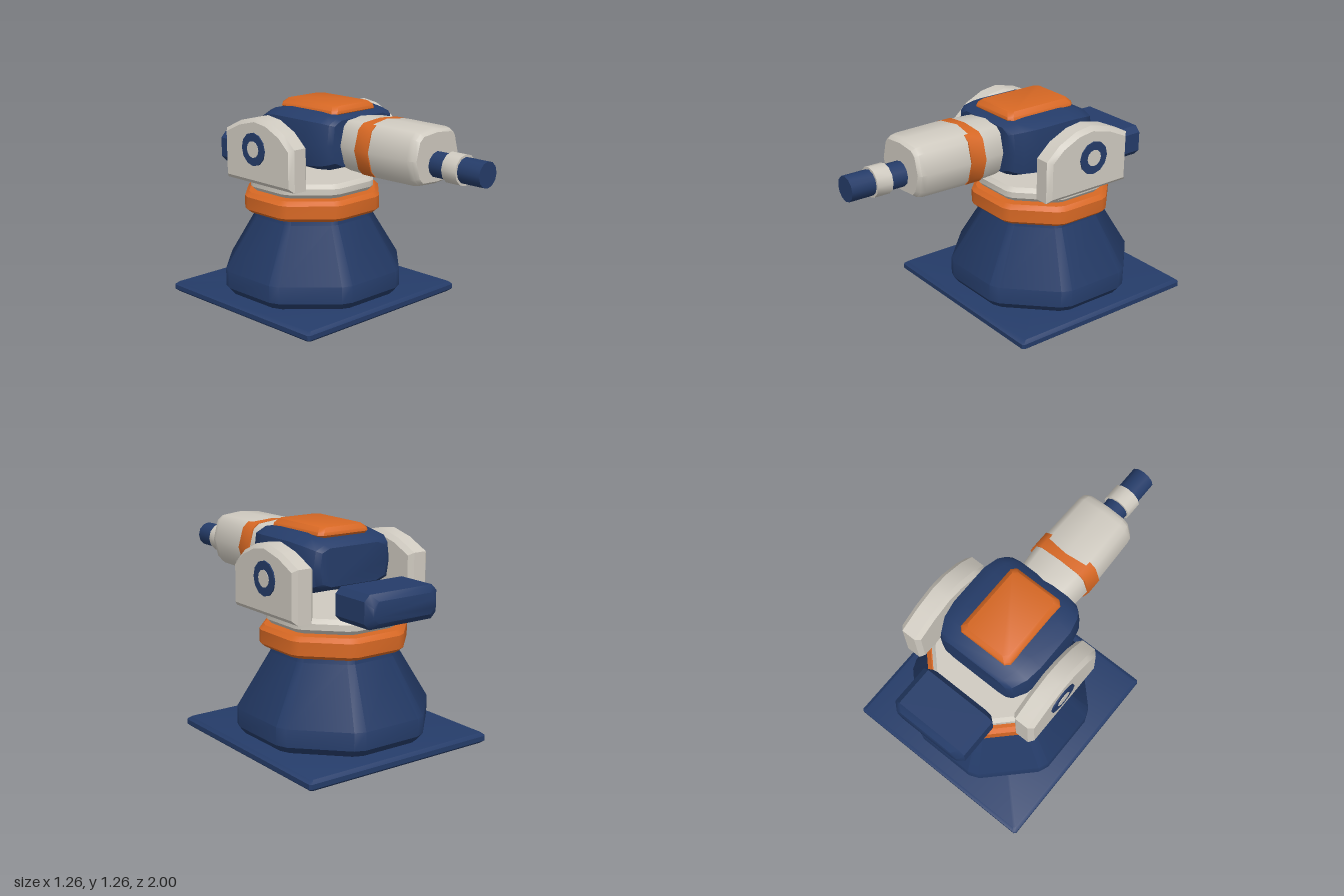
import * as THREE from 'three';
import { toCreasedNormals } from 'three/addons/utils/BufferGeometryUtils.js';

const navy = new THREE.MeshStandardMaterial({ name: 'navy', color: 0x253c69 });
const orange = new THREE.MeshStandardMaterial({ name: 'orange', color: 0xd76824 });
const grey = new THREE.MeshStandardMaterial({ name: 'warmGrey', color: 0xcfcac0 });

const AXIS_Z = -0.37; // centre line of the pedestal

// Skins counter-clockwise outlines placed along z, with both ends capped.
function loft(sections, crease = 0.65) {
  const pos = [];
  const n = sections[0].pts.length;
  const put = (...vs) => vs.forEach((v) => pos.push(...v));
  const at = (s, i) => [...sections[s].pts[i % n], sections[s].z];
  for (let s = 0; s < sections.length - 1; s++) {
    for (let i = 0; i < n; i++) {
      const a = at(s, i), b = at(s, i + 1), c = at(s + 1, i + 1), d = at(s + 1, i);
      put(a, b, c, a, c, d);
    }
  }
  const last = sections.length - 1;
  for (let i = 1; i < n - 1; i++) {
    put(at(last, 0), at(last, i), at(last, i + 1));
    put(at(0, 0), at(0, i + 1), at(0, i));
  }
  const g = new THREE.BufferGeometry();
  g.setAttribute('position', new THREE.Float32BufferAttribute(pos, 3));
  return toCreasedNormals(g, crease);
}

// Rectangle with cut corners, half sizes w and h.
const rect = (w, h, c) => [
  [w, -h + c], [w, h - c], [w - c, h], [-w + c, h],
  [-w, h - c], [-w, -h + c], [-w + c, -h], [w - c, -h],
];

// Octagon with flats on the axes and slightly eased corners.
function octagon(apothem) {
  const pts = [];
  const r = apothem / Math.cos(Math.PI / 8);
  for (let k = 0; k < 8; k++) {
    for (const e of [-0.06, 0.06]) {
      const a = Math.PI / 8 + (k * Math.PI) / 4 + e;
      const rr = apothem / Math.cos(Math.PI / 8 - Math.abs(e));
      pts.push([Math.min(r, rr) * Math.cos(a), Math.min(r, rr) * Math.sin(a)]);
    }
  }
  return pts;
}

// Mirrors the right half of an outline (listed bottom to top) to the left.
const mirrored = (half) => [
  ...half,
  ...half.filter((p) => p[0] > 0).reverse().map(([x, y]) => [-x, y]),
];

const scaled = (pts, sx, sy, cy) => pts.map(([x, y]) => [x * sx, cy + (y - cy) * sy]);

export function createModel() {
  const model = new THREE.Group();
  model.name = 'robotArm';

  const add = (name, geometry, material, x = 0, y = 0, z = 0) => {
    const mesh = new THREE.Mesh(geometry, material);
    mesh.name = name;
    mesh.position.set(x, y, z);
    model.add(mesh);
    return mesh;
  };
  // Stack of outlines rising along y
  const upright = (name, sections, material, z = AXIS_Z) =>
    add(name, loft(sections).rotateX(-Math.PI / 2), material, 0, 0, z);
  const octStack = (rows) => rows.map(([y, r]) => ({ z: y, pts: octagon(r) }));

  // Floor plate
  upright('basePlate', [[0, 0.61], [0.017, 0.63], [0.045, 0.63], [0.062, 0.61]]
    .map(([y, w]) => ({ z: y, pts: rect(w, w, 0.012) })), navy);

  // Pedestal and turntable rings
  upright('pedestal', octStack([[0.06, 0.5], [0.105, 0.535], [0.21, 0.535], [0.535, 0.35], [0.69, 0.35]]), navy);
  upright('turntableRing', octStack([[0.57, 0.385], [0.592, 0.41], [0.67, 0.41], [0.695, 0.385]]), orange);
  upright('turntableTop', octStack([[0.705, 0.35], [0.73, 0.373], [0.765, 0.373], [0.79, 0.35]]), grey);

  // Shoulder housing
  const housing = mirrored([
    [0.22, 0.885], [0.305, 0.92], [0.325, 1.05], [0.308, 1.185], [0.235, 1.22],
  ]);
  add('shoulderHousing', loft([
    [-0.55, 0.72, 0.65], [-0.53, 0.82, 0.75], [-0.45, 0.95, 0.92], [-0.35, 1, 1],
    [-0.09, 1, 1], [0, 0.93, 0.96], [0.045, 0.83, 0.88], [0.065, 0.74, 0.82],
  ].map(([z, sx, sy]) => ({ z, pts: scaled(housing, sx, sy, 1.05) }))), navy);

  // Cover on top of the housing
  upright('topCover', [[1.2, 0.165, 0.23], [1.215, 0.177, 0.24], [1.232, 0.172, 0.237], [1.256, 0.145, 0.215]]
    .map(([y, w, d]) => ({ z: y, pts: rect(w, d, 0.025) })), orange, -0.23);

  // Side brackets with pivot caps
  const bracket = new THREE.Shape([
    [-0.64, 0.785], [-0.04, 0.785], [-0.04, 1.04], [-0.13, 1.12], [-0.25, 1.175],
    [-0.36, 1.19], [-0.5, 1.155], [-0.64, 1.09],
  ].map(([z, y]) => new THREE.Vector2(z, y)));
  const bracketGeometry = toCreasedNormals(new THREE.ExtrudeGeometry(bracket, {
    depth: 0.086, bevelEnabled: true, bevelThickness: 0.026, bevelSize: 0.026,
    bevelOffset: -0.026, bevelSegments: 1,
  }).translate(0, 0, -0.043).rotateY(-Math.PI / 2), 0.65);
  const disc = (r, h) =>
    toCreasedNormals(new THREE.CylinderGeometry(r, r, h, 12).rotateZ(Math.PI / 2), 0.65);
  for (const side of [1, -1]) {
    const label = side > 0 ? 'left' : 'right';
    add(label + 'Bracket', bracketGeometry, grey, side * 0.405);
    add(label + 'PivotRing', disc(0.1, 0.03), navy, side * 0.467, 1, -0.365);
    add(label + 'PivotCap', disc(0.05, 0.03), grey, side * 0.47, 1, -0.365);
  }

  // Counterweight at the rear
  add('counterweight', loft([
    [-0.155, 0.035], [-0.12, 0], [0.125, 0], [0.155, 0.035],
  ].map(([z, d]) => ({ z, pts: rect(0.25 - d, 0.095 - d, 0.035) }))), navy, 0, 0.89, -0.83);

  // Forearm, its band and the tool at the tip
  const forearm = mirrored([
    [0, 0.879], [0.135, 0.888], [0.168, 0.925], [0.2, 1.04], [0.168, 1.16], [0.13, 1.192], [0, 1.205],
  ]);
  add('forearm', loft([
    [0.03, 0.88, 0.92], [0.09, 0.95, 0.96], [0.2, 1, 0.975], [0.32, 1.02, 1],
    [0.59, 0.98, 0.99], [0.625, 0.95, 0.95], [0.645, 0.87, 0.86],
  ].map(([z, sx, sy]) => ({ z, pts: scaled(forearm, sx, sy, 1.04) }))), grey);
  add('forearmBand', loft([0.205, 0.305]
    .map((z) => ({ z, pts: scaled(forearm, 1.06, 0.987, 1.04) }))), orange);

  const rod = (r, length) =>
    toCreasedNormals(new THREE.CylinderGeometry(r, r, length, 12).rotateX(Math.PI / 2), 0.65);
  add('toolRod', rod(0.075, 0.38), navy, 0, 1, 0.81);
  add('toolCollar', rod(0.089, 0.1), grey, 0, 1, 0.798);

  return model;
}
